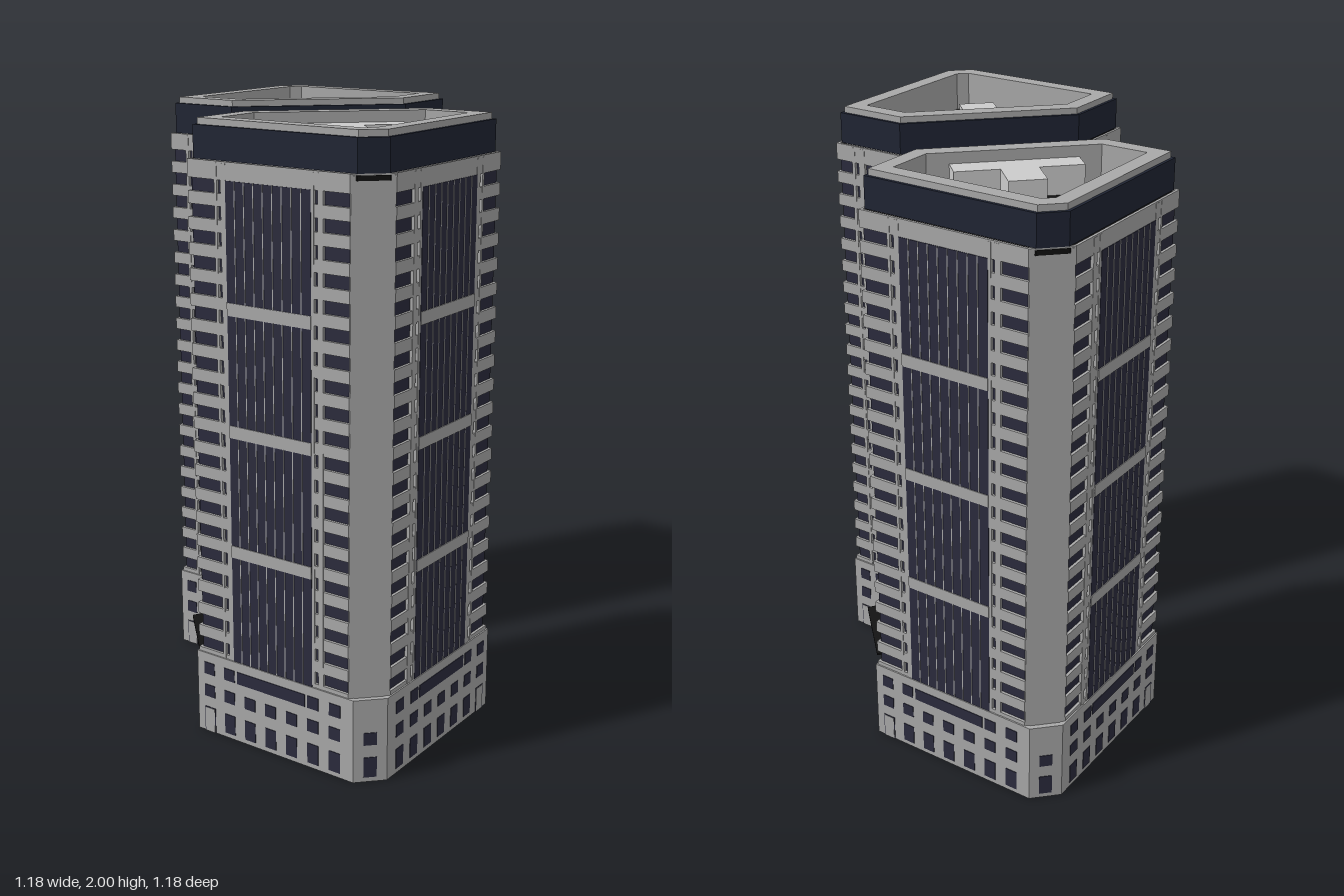
import * as THREE from 'three';

const mat = (color) => new THREE.MeshStandardMaterial({ color, side: THREE.DoubleSide });
const stone = mat(0xa8a8a8), glass = mat(0x2b2b3d), crownDark = mat(0x1f2433);
const black = mat(0x111111), grey = mat(0xcccccc);
const unitBox = new THREE.BoxGeometry(1, 1, 1);

// Plan of one tower, inset by d: two long faces, two short ones,
// a small outer chamfer and a large inner diagonal.
function outline(d, chamfer = 1.1) {
  const hi = 0.588 - d, lo = -0.105 + d;
  const s = 0.215 + Math.SQRT2 * d, t = chamfer - Math.SQRT2 * d;
  return [[s - lo, lo], [hi, lo], [hi, t - hi], [t - hi, hi], [lo, hi], [lo, s - lo]]
    .map(([x, z]) => new THREE.Vector2(x, z));
}

// Vertical extrusion of a plan, optionally hollow
function prism(name, outer, inner, y0, y1, material) {
  const shape = new THREE.Shape(outer);
  if (inner) shape.holes.push(new THREE.Path(inner));
  const geo = new THREE.ExtrudeGeometry(shape, { depth: y1 - y0, bevelEnabled: false });
  geo.rotateX(Math.PI / 2).translate(0, y1, 0);
  const mesh = new THREE.Mesh(geo, material);
  mesh.name = name;
  return mesh;
}

function box(name, x0, x1, y0, y1, z0, z1, material) {
  const mesh = new THREE.Mesh(unitBox, material);
  mesh.scale.set(x1 - x0, y1 - y0, z1 - z0);
  mesh.position.set((x0 + x1) / 2, (y0 + y1) / 2, (z0 + z1) / 2);
  mesh.name = name;
  return mesh;
}

// Slab on the wall running from a to b, spanning s0..s1 along it
function wallSlab(name, [a, b], s0, s1, y0, y1, thick, material) {
  const t = b.clone().sub(a).normalize();
  const p = a.clone().addScaledVector(t, (s0 + s1) / 2);
  const mesh = box(name, 0, s1 - s0, y0, y1, 0, thick, material);
  mesh.position.set(p.x, (y0 + y1) / 2, p.y);
  mesh.rotation.y = Math.atan2(-t.y, t.x);
  return mesh;
}

// Edges of a plan, mirrored pairs measured from the same kind of corner
function edges(p) {
  return {
    long: [[p[1], p[2]], [p[4], p[3]]],
    short: [[p[1], p[0]], [p[4], p[5]]],
    chamfer: [p[2], p[3]],
    diagonal: [p[5], p[0]],
  };
}

function createShaft() {
  const g = new THREE.Group();
  g.name = 'towerShaft';
  const T = 1.079;
  const outer = outline(0.005, T), inner = outline(0.014, T);
  g.add(prism('glassCore', inner, outline(0.018, T), 0.2, 1.87, glass));

  // Floor bands
  for (let i = 0; i < 20; i++) {
    const y = 1.805 - i * 0.0785;
    g.add(prism('floorBand', outer, inner, y - 0.0585, y - 0.02, stone));
  }
  g.add(prism('topBand', outer, inner, 1.825, 1.88, stone));

  const e = edges(outline(0.01, T));
  const pier = (edge, s0, s1) => g.add(wallSlab('pier', edge, s0, s1, 0.27, 1.875, 0.012, stone));

  // Long faces: piers and a tall curtain wall in four sections
  for (const edge of e.long) {
    for (const [s0, s1] of [[0.097, 0.107], [0.121, 0.14], [0.45, 0.46], [0.473, 0.492]]) pier(edge, s0, s1);
    g.add(wallSlab('curtainWall', edge, 0.14, 0.45, 0.27, 1.825, 0.014, glass));
    for (let i = 1; i < 9; i++) {
      const s = 0.14 + (0.31 * i) / 9;
      g.add(wallSlab('mullion', edge, s - 0.0015, s + 0.0015, 0.27, 1.825, 0.017, stone));
    }
    for (const y of [0.66, 1.055, 1.44]) {
      g.add(wallSlab('crossBand', edge, 0.14, 0.45, y - 0.02, y + 0.02, 0.019, stone));
    }
  }
  for (const edge of e.short) {
    pier(edge, 0.06, 0.072);
    pier(edge, 0.087, 0.112);
  }

  // Solid outer chamfer and solid ends of the inner diagonal
  const length = ([a, b]) => a.distanceTo(b);
  pier(e.chamfer, 0, length(e.chamfer));
  const len = length(e.diagonal);
  pier(e.diagonal, 0, 0.125);
  pier(e.diagonal, len - 0.125, len);
  return g;
}

function createPodium() {
  const g = new THREE.Group();
  g.name = 'podium';
  g.add(prism('podiumWall', outline(0), outline(0.016), 0, 0.28, stone));
  const e = edges(outline(0));
  const pane = (edge, s, y, h, w = 0.042) =>
    g.add(wallSlab('podiumWindow', edge, s - w / 2, s + w / 2, y - h / 2, y + h / 2, 0.004, glass));
  // Side door drawn as a thin raised frame
  const door = (edge, s) => {
    g.add(wallSlab('doorFrame', edge, s - 0.022, s + 0.022, 0, 0.088, 0.003, glass));
    g.add(wallSlab('doorLeaf', edge, s - 0.019, s + 0.019, 0, 0.085, 0.005, stone));
  };
  for (const edge of e.long) {
    for (let k = 0; k < 7; k++) {
      const s = 0.05 + k * 0.083;
      pane(edge, s, 0.147, 0.042);
      if (k) pane(edge, s, 0.05, 0.068);
      if (k < 2 || k > 4) pane(edge, s, 0.227, 0.042);
    }
    door(edge, 0.05);
    pane(edge, 0.3, 0.227, 0.042, 0.27);
  }
  for (const edge of e.short) {
    for (const s of [0.05, 0.19]) {
      pane(edge, s, 0.147, 0.042);
      pane(edge, s, 0.227, 0.042);
    }
    pane(edge, 0.12, 0.227, 0.042);
    pane(edge, 0.19, 0.05, 0.068);
    door(edge, 0.05);
  }
  const mid = e.chamfer[0].distanceTo(e.chamfer[1]) / 2;
  pane(e.chamfer, mid, 0.147, 0.042);
  pane(e.chamfer, mid, 0.05, 0.068);
  return g;
}

function createCrown() {
  const g = new THREE.Group();
  g.name = 'crown';
  g.add(prism('crownBand', outline(0.018), outline(0.028), 1.88, 1.98, crownDark));
  g.add(prism('parapet', outline(0.028), outline(0.08), 1.87, 2, stone));
  g.add(prism('roof', outline(0.016), null, 1.86, 1.875, black));
  // Rooftop plant room, T-shaped in plan
  const plant = new THREE.Group();
  plant.name = 'plantRoom';
  plant.rotation.y = Math.PI / 4;
  plant.add(box('plantBar', -0.198, 0.198, 1.87, 1.965, 0.22, 0.311, grey));
  plant.add(box('plantNose', -0.058, 0.058, 1.87, 1.965, 0.3, 0.428, grey));
  g.add(plant);
  return g;
}

function createTower() {
  const g = new THREE.Group();
  g.add(createPodium(), createShaft(), createCrown());
  return g;
}

// Lobby between the towers: stepped vault roof with canopies, glazed ends
function createLobby() {
  const g = new THREE.Group();
  g.name = 'lobby';
  g.rotation.y = Math.PI / 4;
  const half = [[0.467, 0.178], [0.467, 0.184], [0.39, 0.196], [0.29, 0.2]];
  const arc = (x0, y0, x1, y1) => {
    for (let i = 1; i <= 6; i++) {
      const a = (i / 6) * Math.PI / 2;
      half.push([x1 + (x0 - x1) * Math.cos(a), y0 + (y1 - y0) * Math.sin(a)]);
    }
  };
  arc(0.28, 0.2, 0.155, 0.27);
  half.push([0.14, 0.27]);
  arc(0.135, 0.275, 0, 0.362);
  const mirrored = half.slice(0, -1).reverse().map(([x, y]) => [-x, y]);
  const shape = new THREE.Shape([...half, ...mirrored].map(([x, y]) => new THREE.Vector2(x, y)));
  const geo = new THREE.ExtrudeGeometry(shape, { depth: 0.296, bevelEnabled: false }).translate(0, 0, -0.148);
  const roof = new THREE.Mesh(geo, black);
  roof.name = 'lobbyRoof';
  g.add(roof);
  for (const s of [-1, 1]) {
    const x = s * 0.29;
    g.add(box('lobbyWall', x - 0.006, x + 0.006, 0, 0.18, -0.152, 0.152, stone));
    g.add(box('lobbyDoors', x - 0.008, x + 0.008, 0, 0.078, -0.105, 0.105, glass));
    for (const z of [-0.0525, 0, 0.0525]) {
      g.add(box('doorPost', x - 0.01, x + 0.01, 0, 0.078, z - 0.002, z + 0.002, stone));
    }
  }
  return g;
}

export function createModel() {
  const model = new THREE.Group();
  model.name = 'twinTowers';
  const frontTower = createTower(), backTower = createTower();
  frontTower.name = 'frontTower';
  backTower.name = 'backTower';
  backTower.rotation.y = Math.PI;
  model.add(frontTower, backTower, createLobby());
  return model;
}
